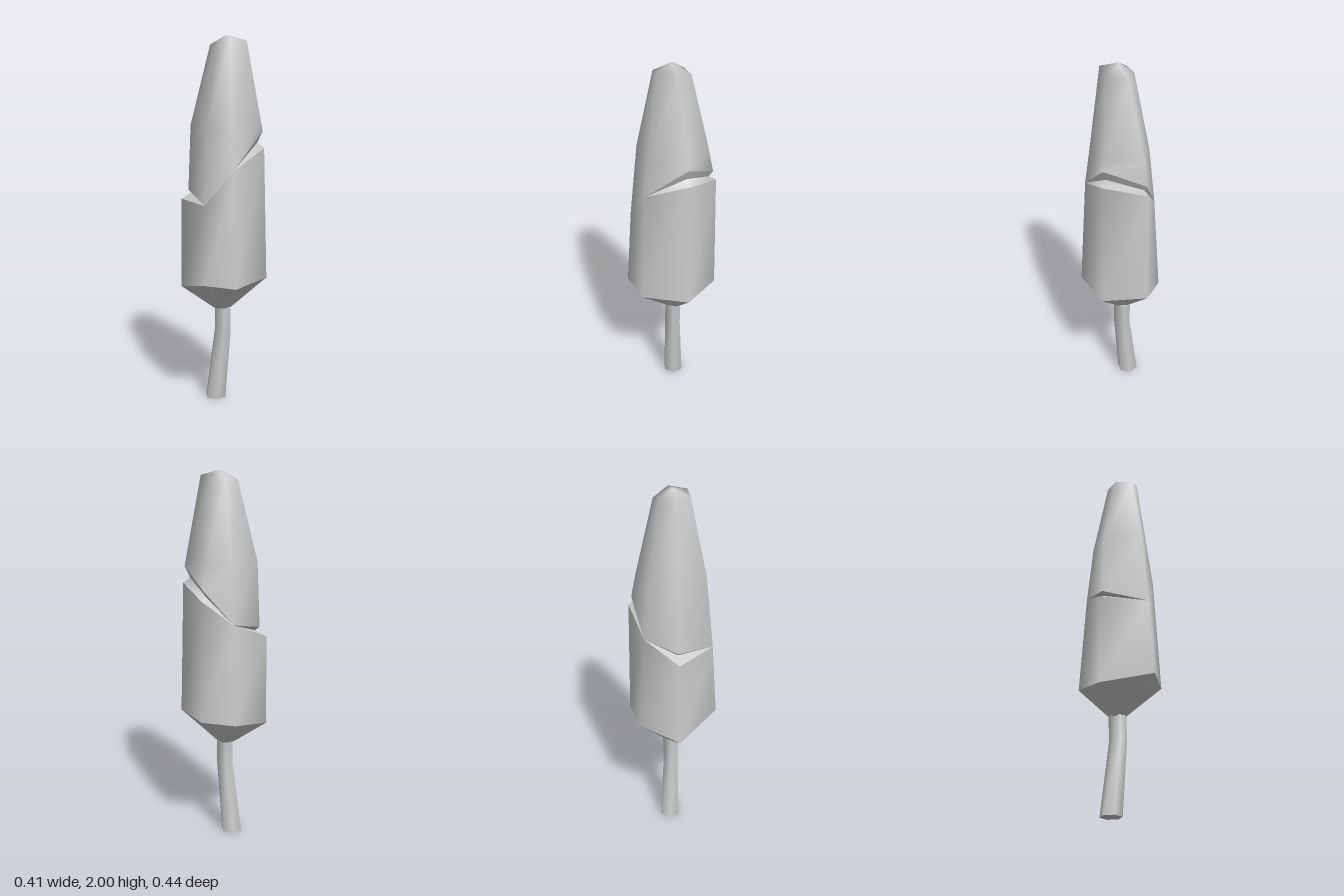
import * as THREE from 'three';

const material = new THREE.MeshStandardMaterial({ color: 0xcccccc });

// Skin between six-cornered rings, listed from bottom to top; smooth inside one skin,
// sharp where two separate skins meet.
function loft(name, rings) {
  const points = rings.flat().map((p) => new THREE.Vector3(...p));
  const index = [];
  const addTriangle = (a, b, c) => {
    const area = new THREE.Triangle(points[a], points[b], points[c]).getArea();
    if (area > 1e-7) index.push(a, b, c);
  };
  for (let r = 0; r < rings.length - 1; r++) {
    for (let i = 0; i < 6; i++) {
      const a = r * 6 + i;
      const b = r * 6 + ((i + 1) % 6);
      addTriangle(a, b, b + 6);
      addTriangle(a, b + 6, a + 6);
    }
  }
  const geometry = new THREE.BufferGeometry().setFromPoints(points);
  geometry.setIndex(index);
  geometry.computeVertexNormals();
  const mesh = new THREE.Mesh(geometry, material);
  mesh.name = name;
  return mesh;
}

// Regular six-sided ring around a centre
function hexagon(x, y, z, radius) {
  return Array.from({ length: 6 }, (_, i) => {
    const angle = -Math.PI / 2 + (i * Math.PI) / 3;
    return [x + radius * Math.sin(angle + Math.PI / 6), y, z + radius * Math.cos(angle + Math.PI / 6)];
  });
}

export function createModel() {
  const group = new THREE.Group();
  group.name = 'tree';

  // Slightly bent trunk
  const foot = hexagon(-0.052, 0, 0.017, 0.058);
  group.add(loft('trunk', [foot, hexagon(-0.01, 0.4, 0, 0.047), hexagon(-0.013, 0.53, -0.002, 0.047)]));
  group.add(loft('trunkBase', [hexagon(-0.052, 0, 0.017, 0), foot]));

  // Crown rings; corners run left-back, left-front, front, right, back-right, back
  const neck = [
    [-0.055, 0.53, -0.02], [-0.045, 0.52, 0.03], [0.01, 0.53, 0.043],
    [0.028, 0.53, 0.015], [0.02, 0.53, -0.035], [-0.03, 0.53, -0.045],
  ];
  const rim = [
    [-0.203, 0.68, -0.078], [-0.172, 0.64, 0.162], [0.113, 0.71, 0.217],
    [0.203, 0.685, 0.08], [0.15, 0.7, -0.178], [-0.095, 0.7, -0.218],
  ];
  const lowerLip = [
    [-0.17, 1.22, -0.065], [-0.172, 1.13, 0.156], [0.09, 1.13, 0.2],
    [0.17, 1.31, 0.07], [0.137, 1.41, -0.165], [-0.093, 1.35, -0.211],
  ];
  const upperLip = [
    lowerLip[0], [-0.145, 1.18, 0.13], lowerLip[2],
    lowerLip[3], [0.13, 1.5, -0.16], [-0.088, 1.4, -0.195],
  ];
  const grooveFloor = [
    lowerLip[0], [-0.125, 1.16, 0.115], lowerLip[2],
    lowerLip[3], [0.11, 1.44, -0.14], [-0.078, 1.37, -0.175],
  ];
  const shoulder = [
    [-0.14, 1.53, -0.055], [-0.135, 1.53, 0.12], [0.07, 1.54, 0.165],
    [0.146, 1.5, 0.062], [0.125, 1.55, -0.152], [-0.078, 1.53, -0.172],
  ];
  const crest = [
    [-0.062, 1.95, -0.035], [-0.047, 1.95, 0.055], [0.045, 1.955, 0.08],
    [0.094, 1.975, 0.03], [0.09, 1.97, -0.08], [-0.02, 1.94, -0.098],
  ];
  const tip = Array(6).fill([0.01, 2, -0.01]);

  group.add(loft('crownUnderside', [neck, rim]));
  group.add(loft('lowerCrown', [rim, lowerLip]));
  group.add(loft('grooveLedge', [lowerLip, grooveFloor]));
  group.add(loft('grooveCeiling', [grooveFloor, upperLip]));
  group.add(loft('upperCrown', [upperLip, shoulder, crest, tip]));
  return group;
}
